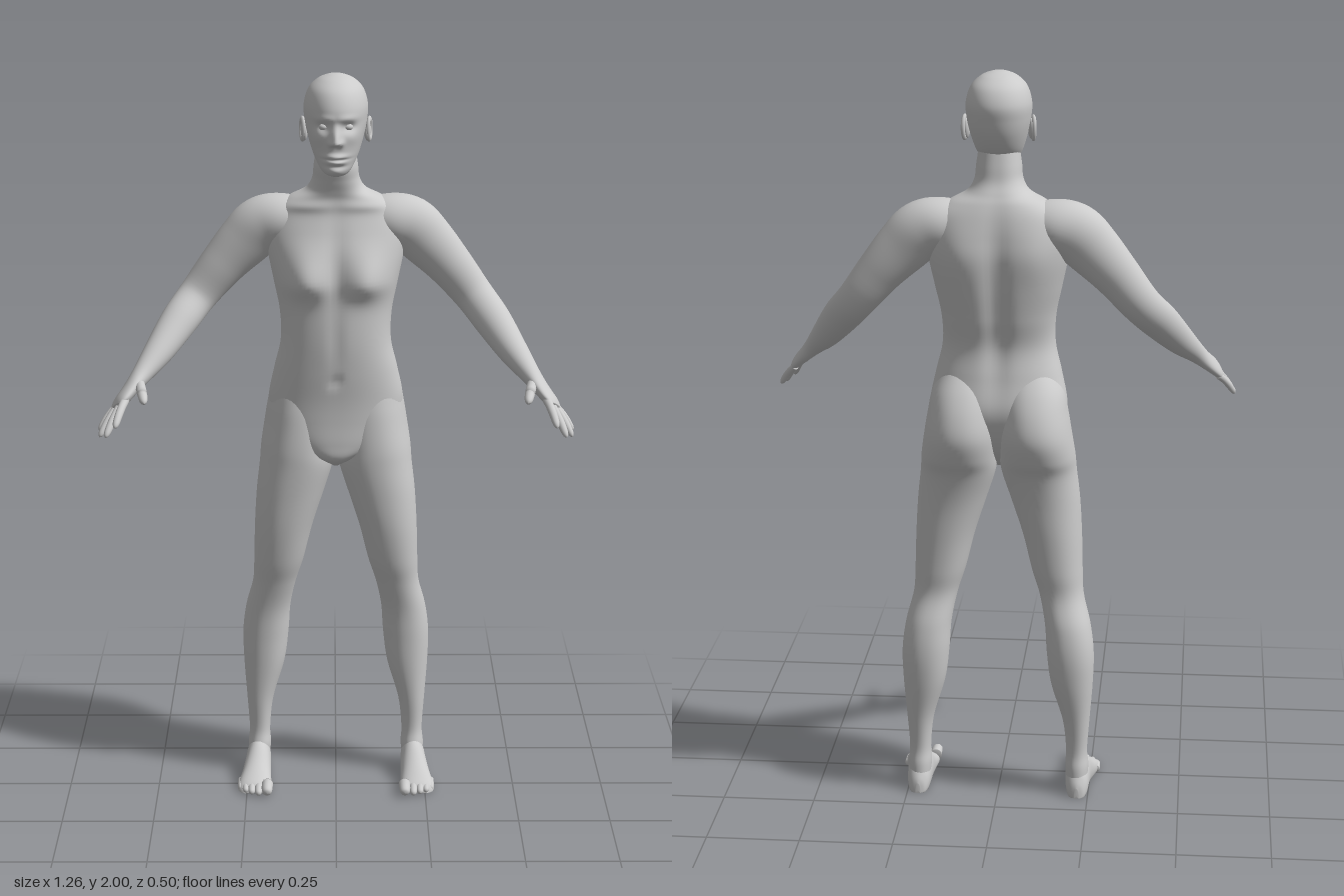
import * as THREE from 'three';

const skin = new THREE.MeshStandardMaterial({ color: 0xcccccc });
const TAU = Math.PI * 2;
const gauss = (d, s) => Math.exp(-(d * d) / (2 * s * s));
const blob = (x, y, cx, cy, sx, sy) => gauss(x - cx, sx) * gauss(y - cy, sy);

// Smooth Catmull-Rom refinement of a short table of cross-sections
function refine(rows, steps) {
  const out = [];
  const n = rows.length - 1;
  for (let k = 0; k <= n * steps; k++) {
    const i = Math.min(Math.floor(k / steps), n - 1);
    const t = k / steps - i;
    const [a, b, c, d] = [rows[Math.max(i - 1, 0)], rows[i], rows[i + 1], rows[Math.min(i + 2, n)]];
    out.push(b.map((_, m) => 0.5 * (2 * b[m] + (c[m] - a[m]) * t
      + (2 * a[m] - 5 * b[m] + 4 * c[m] - d[m]) * t * t
      + (3 * b[m] - a[m] - 3 * c[m] + d[m]) * t * t * t)));
  }
  return out;
}

// Closed skin over rings; side = -1 gives the mirrored part
function skinRings(name, rings, side = 1) {
  const seg = rings[0].length;
  const pos = [];
  const idx = [];
  const tri = (a, b, c) => (side > 0 ? idx.push(a, b, c) : idx.push(a, c, b));
  rings.forEach((ring) => ring.forEach((p) => pos.push(p.x * side, p.y, p.z)));
  for (let i = 0; i < rings.length - 1; i++) {
    for (let j = 0; j < seg; j++) {
      const a = i * seg + j;
      const b = i * seg + ((j + 1) % seg);
      tri(a, a + seg, b);
      tri(b, a + seg, b + seg);
    }
  }
  [0, rings.length - 1].forEach((r, end) => {
    const c = rings[r].reduce((s, p) => s.add(p), new THREE.Vector3()).divideScalar(seg);
    const ci = pos.length / 3;
    pos.push(c.x * side, c.y, c.z);
    for (let j = 0; j < seg; j++) {
      const a = r * seg + j;
      const b = r * seg + ((j + 1) % seg);
      if (end) tri(a, ci, b); else tri(a, b, ci);
    }
  });
  const g = new THREE.BufferGeometry();
  g.setAttribute('position', new THREE.Float32BufferAttribute(pos, 3));
  g.setIndex(idx);
  g.computeVertexNormals();
  const mesh = new THREE.Mesh(g, skin);
  mesh.name = name;
  return mesh;
}

// Horizontal sections, bottom to top: [y, centreX, halfWidth, frontZ, backZ]
function stack(name, rows, { seg = 48, steps = 6, power = 2, side = 1, shape } = {}) {
  const bend = (v) => Math.sign(v) * Math.abs(v) ** (2 / power);
  const rings = refine(rows, steps).map(([y, cx, rx, zf, zb]) => Array.from({ length: seg }, (_, j) => {
    const a = (j / seg) * TAU;
    const p = new THREE.Vector3(cx + rx * bend(Math.cos(a)), y, (zf + zb) / 2 + ((zf - zb) / 2) * bend(Math.sin(a)));
    if (shape) shape(p, Math.sin(a));
    return p;
  }));
  return skinRings(name, rings, side);
}

// Sections square to a path: [x, y, z, thickness, breadth]
function limb(name, rows, { seg = 32, steps = 6, side = 1 } = {}) {
  const fine = refine(rows, steps);
  const at = (i) => new THREE.Vector3(...fine[THREE.MathUtils.clamp(i, 0, fine.length - 1)].slice(0, 3));
  const rings = fine.map((row, i) => {
    const t = at(i + 1).sub(at(i - 1)).normalize();
    const ref = Math.abs(t.z) > 0.95 ? new THREE.Vector3(0, -1, 0) : new THREE.Vector3(0, 0, 1);
    const v = ref.addScaledVector(t, -ref.dot(t)).normalize();
    const u = t.clone().cross(v);
    return Array.from({ length: seg }, (_, j) => {
      const a = (j / seg) * TAU;
      return at(i).addScaledVector(u, row[3] * Math.cos(a)).addScaledVector(v, row[4] * Math.sin(a));
    });
  });
  return skinRings(name, rings, side);
}

// Finger or toe with a rounded tip and a slight arch
function digit(name, from, to, r, side, arch = 0.006) {
  const a = new THREE.Vector3(...from);
  const b = new THREE.Vector3(...to);
  const rows = [[0, 1], [0.3, 0.95], [0.6, 0.92], [0.85, 0.8], [0.96, 0.5], [1, 0.04]].map(([t, k]) => {
    const p = a.clone().lerp(b, t);
    return [p.x, p.y + arch * Math.sin(t * Math.PI), p.z, r * k, r * k];
  });
  return limb(name, rows, { seg: 14, steps: 4, side });
}

// Chest, spine and navel modelling
function shapeTorso(p, s) {
  const x = Math.abs(p.x);
  if (s > 0) {
    const f = Math.min(1, s * 2);
    p.z += f * 0.037 * blob(x, p.y, 0.083, 1.452, 0.042, p.y < 1.452 ? 0.03 : 0.055);
    p.z += f * 0.006 * blob(x, p.y, 0.09, 1.65, 0.06, 0.01);
    p.z -= f * 0.006 * blob(x, p.y, 0, 1.5, 0.018, 0.09);
    p.z -= f * 0.007 * blob(x, p.y, 0, 1.18, 0.009, 0.011);
    p.z -= f * 0.004 * blob(x, p.y, 0, 1.29, 0.012, 0.06);
  } else {
    const b = Math.min(1, -s * 2);
    p.z += b * 0.016 * blob(x, p.y, 0, 1.4, 0.022, 0.15);
    p.z -= b * 0.01 * blob(x, p.y, 0.1, 1.54, 0.04, 0.06);
  }
}

// Face relief: brow, sockets, cheeks, nose, lips and chin
function shapeHead(p, s) {
  p.x *= 1 - 0.08 * s;
  if (s < 0.1) return;
  const x = Math.abs(p.x);
  const f = Math.min(1, (s - 0.1) * 3);
  const ridge = THREE.MathUtils.smoothstep(p.y, 1.822, 1.833) * (1 - THREE.MathUtils.smoothstep(p.y, 1.832, 1.89));
  p.z += f * (0.027 * ridge * gauss(x, 0.009)
    + 0.008 * blob(x, p.y, 0.013, 1.832, 0.006, 0.007)
    - 0.013 * blob(x, p.y, 0.033, 1.873, 0.014, 0.01)
    + 0.005 * blob(x, p.y, 0.03, 1.895, 0.02, 0.007)
    + 0.005 * blob(x, p.y, 0.047, 1.845, 0.014, 0.014)
    + 0.011 * blob(x, p.y, 0, 1.796, 0.019, 0.005)
    + 0.01 * blob(x, p.y, 0, 1.781, 0.016, 0.005)
    - 0.006 * blob(x, p.y, 0, 1.789, 0.022, 0.0025)
    - 0.004 * blob(x, p.y, 0, 1.77, 0.018, 0.005)
    + 0.004 * blob(x, p.y, 0, 1.755, 0.014, 0.008));
}

function createArm(side) {
  const arm = new THREE.Group();
  arm.name = side > 0 ? 'leftArm' : 'rightArm';
  arm.add(limb('armAndPalm', [
    [0.06, 1.6, -0.125, 0.05, 0.05], [0.14, 1.602, -0.127, 0.07, 0.075], [0.2, 1.585, -0.13, 0.078, 0.072],
    [0.25, 1.54, -0.13, 0.073, 0.064], [0.31, 1.475, -0.128, 0.062, 0.057], [0.375, 1.395, -0.117, 0.053, 0.049],
    [0.425, 1.335, -0.06, 0.05, 0.048], [0.475, 1.27, 0.01, 0.04, 0.041], [0.518, 1.22, 0.07, 0.027, 0.033],
    [0.545, 1.19, 0.105, 0.02, 0.041], [0.57, 1.163, 0.138, 0.016, 0.046], [0.581, 1.15, 0.153, 0.009, 0.038],
  ], { side, seg: 40 }));
  [
    ['indexFinger', [0.556, 1.174, 0.162], [0.578, 1.122, 0.25], 0.0115],
    ['middleFinger', [0.566, 1.162, 0.146], [0.605, 1.09, 0.228], 0.0115],
    ['ringFinger', [0.576, 1.152, 0.128], [0.624, 1.08, 0.188], 0.011],
    ['littleFinger', [0.583, 1.144, 0.11], [0.629, 1.085, 0.142], 0.01],
    ['thumb', [0.525, 1.205, 0.09], [0.503, 1.178, 0.212], 0.0145],
  ].forEach(([name, a, b, r]) => arm.add(digit(name, a, b, r, side)));
  return arm;
}

function createLeg(side) {
  const leg = new THREE.Group();
  leg.name = side > 0 ? 'leftLeg' : 'rightLeg';
  // Ankle up to the buttock, which sinks into the pelvis
  leg.add(stack('legAndButtock', [
    [0.03, 0.219, 0.027, -0.085, -0.165], [0.08, 0.218, 0.032, -0.074, -0.165], [0.13, 0.217, 0.029, -0.083, -0.16],
    [0.22, 0.215, 0.037, -0.077, -0.172], [0.33, 0.203, 0.057, -0.07, -0.193], [0.42, 0.198, 0.064, -0.066, -0.201],
    [0.5, 0.19, 0.062, -0.06, -0.193], [0.58, 0.172, 0.06, -0.043, -0.171], [0.65, 0.159, 0.069, -0.023, -0.175],
    [0.75, 0.145, 0.08, -0.007, -0.181], [0.85, 0.126, 0.093, 0, -0.19], [0.93, 0.109, 0.101, 0.003, -0.208],
    [0.98, 0.105, 0.101, 0.003, -0.234], [1.04, 0.1, 0.097, -0.002, -0.252], [1.1, 0.097, 0.09, -0.01, -0.243],
    [1.16, 0.094, 0.08, -0.025, -0.215], [1.22, 0.09, 0.05, -0.06, -0.17],
  ], { side, power: 2.15 }));
  // Foot sections from heel to ball: [z, centreX, halfWidth, top]
  const foot = refine([
    [-0.177, 0.22, 0.006, 0.03], [-0.17, 0.22, 0.02, 0.05], [-0.15, 0.22, 0.03, 0.08], [-0.11, 0.22, 0.034, 0.1],
    [-0.07, 0.221, 0.036, 0.096], [-0.02, 0.225, 0.041, 0.065], [0.03, 0.229, 0.047, 0.04],
    [0.055, 0.228, 0.044, 0.028], [0.068, 0.222, 0.034, 0.016],
  ], 5).map(([z, cx, rx, top]) => Array.from({ length: 32 }, (_, j) => {
    const a = (j / 32) * TAU;
    const y = (top - 0.02) / 2 - ((top + 0.02) / 2) * Math.sin(a);
    return new THREE.Vector3(cx + rx * Math.cos(a), Math.max(y, 0.003), z);
  }));
  leg.add(skinRings('foot', foot, side));
  [[0.193, 0.1, 0.0165], [0.217, 0.095, 0.0115], [0.236, 0.086, 0.011], [0.253, 0.073, 0.0105], [0.267, 0.055, 0.01]]
    .forEach(([x, z, r]) => leg.add(digit('toe', [x, r + 0.004, z - 0.055], [x, r, z], r, side, 0.004)));
  return leg;
}

function createHead() {
  const head = new THREE.Group();
  head.name = 'head';
  head.add(stack('skullAndFace', [
    [1.74, 0, 0.014, 0.004, -0.035], [1.746, 0, 0.03, 0.018, -0.06], [1.758, 0, 0.042, 0.026, -0.095],
    [1.775, 0, 0.052, 0.028, -0.13], [1.8, 0, 0.063, 0.03, -0.163], [1.84, 0, 0.075, 0.033, -0.188],
    [1.88, 0, 0.083, 0.033, -0.201], [1.92, 0, 0.085, 0.031, -0.206], [1.96, 0, 0.073, 0.01, -0.189],
    [1.985, 0, 0.049, -0.027, -0.156], [1.997, 0, 0.022, -0.066, -0.121], [2, 0, 0.002, -0.093, -0.097],
  ], { seg: 112, steps: 10, power: 2.1, shape: shapeHead }));
  const place = (name, geo, x, y, z, sx, sy, sz, ry = 0, rx = 0) => {
    const m = new THREE.Mesh(geo, skin);
    m.name = name;
    m.position.set(x, y, z);
    m.scale.set(sx, sy, sz);
    m.rotation.set(rx, ry, 0);
    head.add(m);
  };
  const ball = new THREE.SphereGeometry(1, 24, 16);
  const rim = new THREE.TorusGeometry(0.75, 0.25, 10, 28);
  for (const s of [-1, 1]) {
    place('eye', ball, s * 0.032, 1.873, 0.007, 0.013, 0.0095, 0.012);
    place('ear', ball, s * 0.084, 1.85, -0.092, 0.009, 0.029, 0.017, s * -0.2, -0.15);
    place('earRim', rim, s * 0.089, 1.852, -0.094, 0.021, 0.035, 0.022, s * (Math.PI / 2 - 0.25));
  }
  return head;
}

export function createModel() {
  const body = new THREE.Group();
  body.name = 'humanFigure';
  // Pelvis, trunk and neck in one skin
  body.add(stack('torsoAndNeck', [
    [0.935, 0, 0.012, -0.03, -0.09], [0.96, 0, 0.06, 0, -0.13], [1, 0, 0.13, 0.004, -0.17], [1.06, 0, 0.172, 0.002, -0.2],
    [1.12, 0, 0.183, 0.003, -0.213], [1.2, 0, 0.168, 0.01, -0.2], [1.28, 0, 0.15, 0.015, -0.19], [1.36, 0, 0.152, 0.014, -0.208],
    [1.44, 0, 0.168, 0.008, -0.222], [1.52, 0, 0.184, -0.004, -0.228], [1.58, 0, 0.188, -0.022, -0.222],
    [1.63, 0, 0.17, -0.038, -0.212], [1.665, 0, 0.13, -0.042, -0.2], [1.69, 0, 0.083, -0.038, -0.186],
    [1.72, 0, 0.064, -0.03, -0.17], [1.76, 0, 0.059, -0.022, -0.162], [1.82, 0, 0.05, -0.035, -0.15],
  ], { seg: 96, steps: 7, power: 2.3, shape: shapeTorso }));
  body.add(createHead());
  for (const side of [1, -1]) body.add(createArm(side), createLeg(side));
  return body;
}
